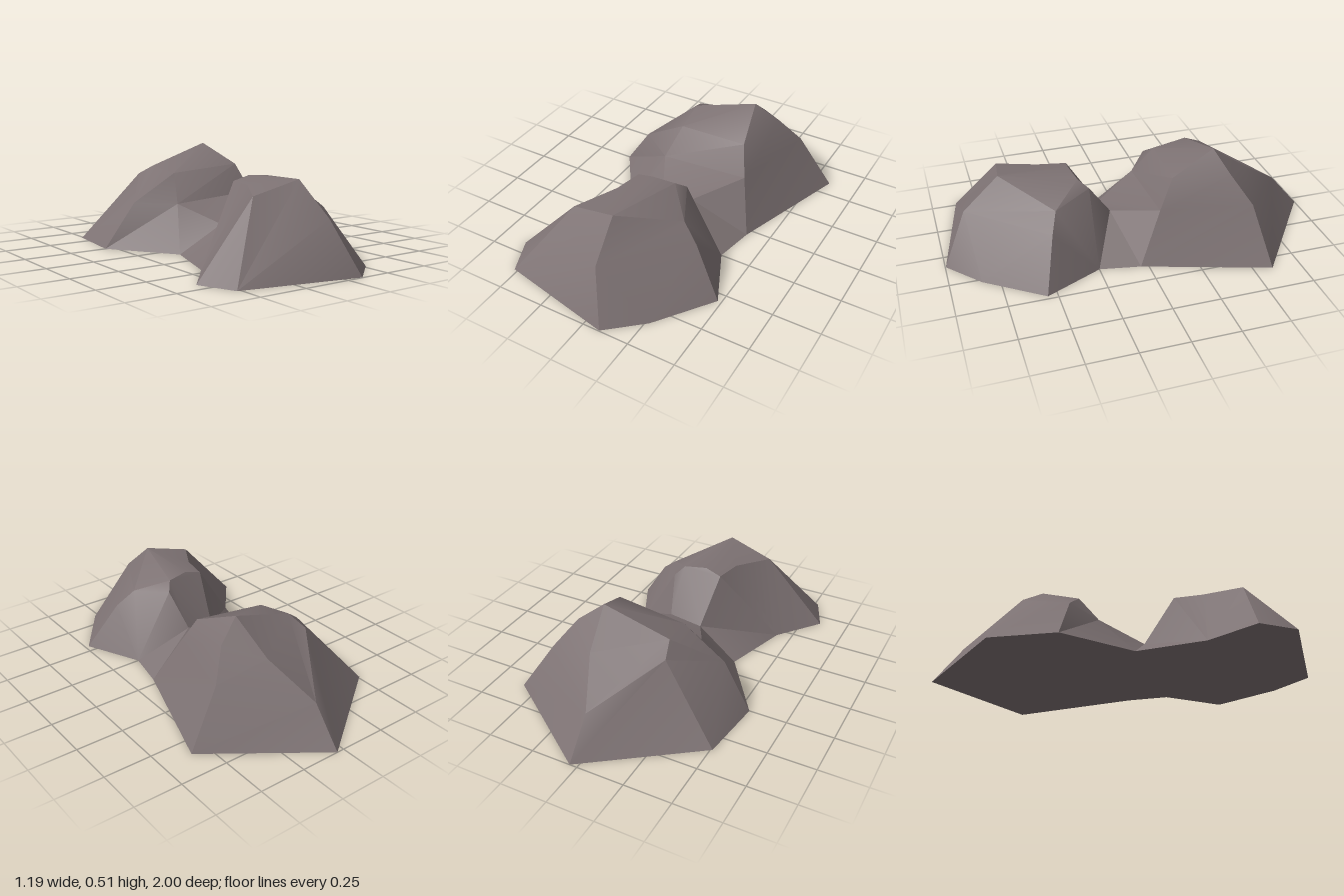
import * as THREE from 'three';
import { toCreasedNormals } from 'three/addons/utils/BufferGeometryUtils.js';

const stone = new THREE.MeshStandardMaterial({ color: 0x7d7273 });
stone.name = 'warm grey stone';

// Corners shared by both rocks, along the valley between them
const valley = {
  vE: [0.38, 0, 0.04], vA: [0.09, 0.18, 0.12], vB: [-0.08, 0.14, 0.14], vW: [-0.31, 0, 0.1],
};

const rear = {
  ...valley,
  // ground corners
  gN: [0.04, 0, -1], gE: [0.59, 0, -0.6], gW: [-0.55, 0, -0.25], gNW: [-0.51, 0, -0.6],
  // peak and its three ridges
  peak: [0.185, 0.515, -0.41],
  e1: [0.41, 0.28, -0.55], e2: [0.31, 0.42, -0.46],
  n1: [0.04, 0.19, -0.84], n2: [0.15, 0.36, -0.61],
  w1: [-0.2, 0.355, -0.49], w2: [-0.17, 0.405, -0.39],
  // broken step facing the valley, and the west shoulder
  sE: [0.24, 0.41, -0.17], sW: [-0.15, 0.38, -0.2],
  tE: [0.29, 0.26, -0.09], tW: [-0.2, 0.228, -0.09],
  side: [-0.39, 0.235, -0.22],
};

const rearFacets = [
  'vE gE e1 tE', 'tE e1 e2 sE', 'sE e2 peak',                 // east
  'gE gN n1 e1', 'e1 n1 n2 e2', 'e2 n2 peak',                 // north-east
  'gN gNW w1 n1', 'n1 w1 w2 n2', 'n2 w2 peak',                // north-west
  'peak w2 sW sE', 'sE sW tW tE',                             // crown and step
  'tE tW vB vA', 'tE vA vE', 'tW vW vB',                      // valley slope
  'tW side gW vW', 'sW side tW', 'w2 w1 side sW', 'side w1 gNW gW', // west
];

const front = {
  ...valley,
  // ground corners
  gNE: [0.34, 0, 0.25], gE: [0.48, 0, 0.55], gSE: [0.27, 0, 0.84], gS: [0.09, 0, 0.997],
  gSW: [-0.52, 0, 0.865], gW: [-0.6, 0, 0.675], gNW: [-0.42, 0, 0.45],
  // crown
  top: [-0.02, 0.425, 0.68], cW: [-0.27, 0.36, 0.65], cE: [0.23, 0.32, 0.44],
  cN: [-0.03, 0.41, 0.31], cNE: [0.09, 0.4, 0.29], cNW: [-0.12, 0.385, 0.3],
  lip: [0.13, 0.36, 0.24], dip: [-0.15, 0.385, 0.45],
  // bulges on the ridges
  s1: [0, 0.26, 0.87], e1: [0.32, 0.24, 0.48],
};

const frontFacets = [
  'gSW gS s1 top cW',                                          // south
  'gS gSE s1', 'gSE gE e1 s1', 's1 e1 cE top',                 // south-east
  'gNE lip cE e1 gE', 'cE lip cNE',                            // east
  'top cE cNE cN dip cW', 'cN cNW dip',                        // crown
  'cNE lip vA vB cNW cN', 'gNE vE vA lip',                     // north
  'vB vW gNW', 'cNW vB gNW', 'dip cNW gNW cW', 'cW gNW gW gSW', // west
];

// Fan each named facet into triangles; soften only shallow edges
function rock(name, points, facets) {
  const position = [];
  for (const facet of facets) {
    const p = facet.split(' ').map((key) => points[key]);
    for (let i = 1; i < p.length - 1; i++) position.push(...p[0], ...p[i], ...p[i + 1]);
  }
  const geometry = new THREE.BufferGeometry();
  geometry.setAttribute('position', new THREE.Float32BufferAttribute(position, 3));
  const mesh = new THREE.Mesh(toCreasedNormals(geometry, 0.5), stone);
  mesh.name = name;
  return mesh;
}

// Flat underside following the ground corners of both rocks
function underside() {
  const f = front, r = rear;
  const outline = [r.gN, r.gE, r.vE, f.gNE, f.gE, f.gSE, f.gS, f.gSW, f.gW, f.gNW, r.vW, r.gW, r.gNW];
  const shape = new THREE.Shape(outline.map(([x, , z]) => new THREE.Vector2(x, z)));
  const mesh = new THREE.Mesh(new THREE.ShapeGeometry(shape).rotateX(Math.PI / 2), stone);
  mesh.name = 'underside';
  return mesh;
}

export function createModel() {
  const group = new THREE.Group();
  group.name = 'rocks';
  group.add(rock('rearRock', rear, rearFacets), rock('frontRock', front, frontFacets), underside());
  return group;
}
